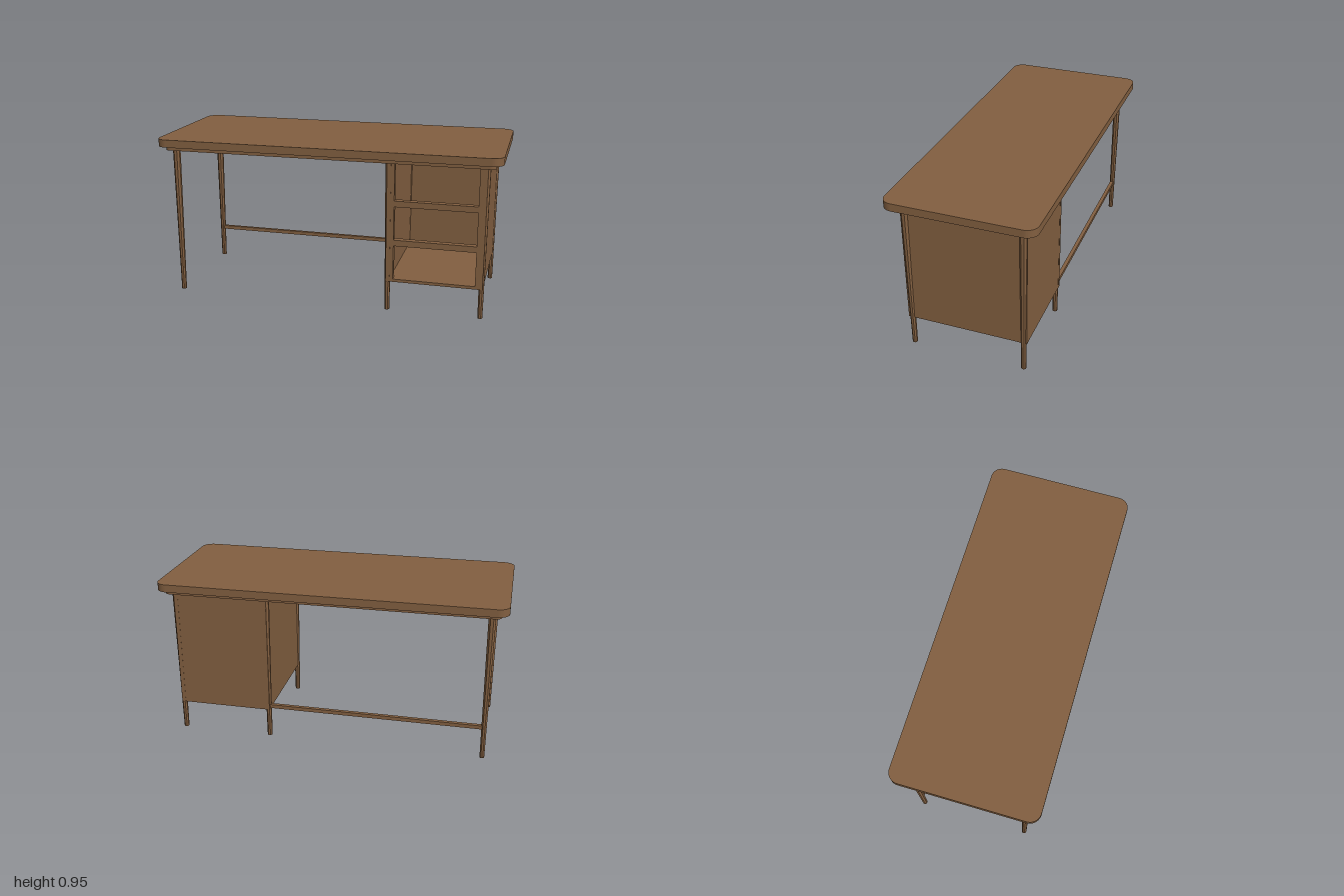
import * as THREE from 'three';

const wood = new THREE.MeshStandardMaterial({ color: 0x825f40 });
wood.name = 'wood';

// Rounded rectangle outline in plan, used for the top and the apron
function roundedRect(path, hx, hz, r) {
  path.moveTo(-hx + r, -hz);
  path.lineTo(hx - r, -hz);
  path.absarc(hx - r, -hz + r, r, -Math.PI / 2, 0, false);
  path.lineTo(hx, hz - r);
  path.absarc(hx - r, hz - r, r, 0, Math.PI / 2, false);
  path.lineTo(-hx + r, hz);
  path.absarc(-hx + r, hz - r, r, Math.PI / 2, Math.PI, false);
  path.lineTo(-hx, -hz + r);
  path.absarc(-hx + r, -hz + r, r, Math.PI, Math.PI * 1.5, false);
  return path;
}

// Horizontal slab from y0 to y1
function slab(shape, y0, y1) {
  const g = new THREE.ExtrudeGeometry(shape, { depth: y1 - y0, bevelEnabled: false, curveSegments: 6 });
  g.rotateX(-Math.PI / 2);
  g.translate(0, y0, 0);
  return g;
}

// Box given by its minimum and maximum on each axis
function box(x0, x1, y0, y1, z0, z1) {
  const g = new THREE.BoxGeometry(x1 - x0, y1 - y0, z1 - z0);
  g.translate((x0 + x1) / 2, (y0 + y1) / 2, (z0 + z1) / 2);
  return g;
}

export function createModel() {
  const model = new THREE.Group();
  model.name = 'desk';
  const add = (name, geometry, parent = model) => {
    const mesh = new THREE.Mesh(geometry, wood);
    mesh.name = name;
    parent.add(mesh);
    return mesh;
  };

  // Top with rounded corners
  add('desktop', slab(roundedRect(new THREE.Shape(), 1, 0.42, 0.065), 0.905, 0.95));

  // Apron frame under the top
  const apron = roundedRect(new THREE.Shape(), 0.96, 0.382, 0.035);
  apron.holes.push(roundedRect(new THREE.Path(), 0.92, 0.342, 0.005));
  add('apron', slab(apron, 0.88, 0.906));

  // Six tapered eight-sided legs
  const k = Math.cos(Math.PI / 8);
  const legGeometry = new THREE.CylinderGeometry(0.0205 / k, 0.0135 / k, 0.9, 8)
    .rotateY(Math.PI / 8).toNonIndexed();
  legGeometry.computeVertexNormals();
  for (const x of [-0.908, 0.37, 0.908]) {
    for (const z of [-0.327, 0.327]) {
      add(z > 0 ? 'frontLeg' : 'backLeg', legGeometry).position.set(x, 0.45, z);
    }
  }

  // Back stretcher
  add('stretcher', box(-0.908, 0.37, 0.186, 0.208, -0.338, -0.316));

  // Open drawer cabinet
  const cabinet = new THREE.Group();
  cabinet.name = 'cabinet';
  model.add(cabinet);
  add('leftInnerPanel', box(0.362, 0.385, 0.178, 0.905, -0.349, 0.349), cabinet);
  add('outerPanel', box(0.893, 0.916, 0.178, 0.905, -0.349, 0.349), cabinet);
  add('backPanel', box(0.385, 0.893, 0.178, 0.905, -0.348, -0.328), cabinet);
  add('cabinetFloor', box(0.385, 0.893, 0.178, 0.195, -0.328, 0.348), cabinet);
  add('cabinetCeiling', box(0.385, 0.893, 0.875, 0.905, -0.328, 0.348), cabinet);

  // Front stiles and the rails between the three openings
  for (const [x0, x1] of [[0.385, 0.405], [0.873, 0.893]]) {
    add('stile', box(x0, x1, 0.195, 0.875, 0.31, 0.348), cabinet);
  }
  for (const [y0, y1] of [[0.395, 0.43], [0.625, 0.66]]) {
    add('rail', box(0.405, 0.873, y0, y1, 0.31, 0.348), cabinet);
  }
  return model;
}
